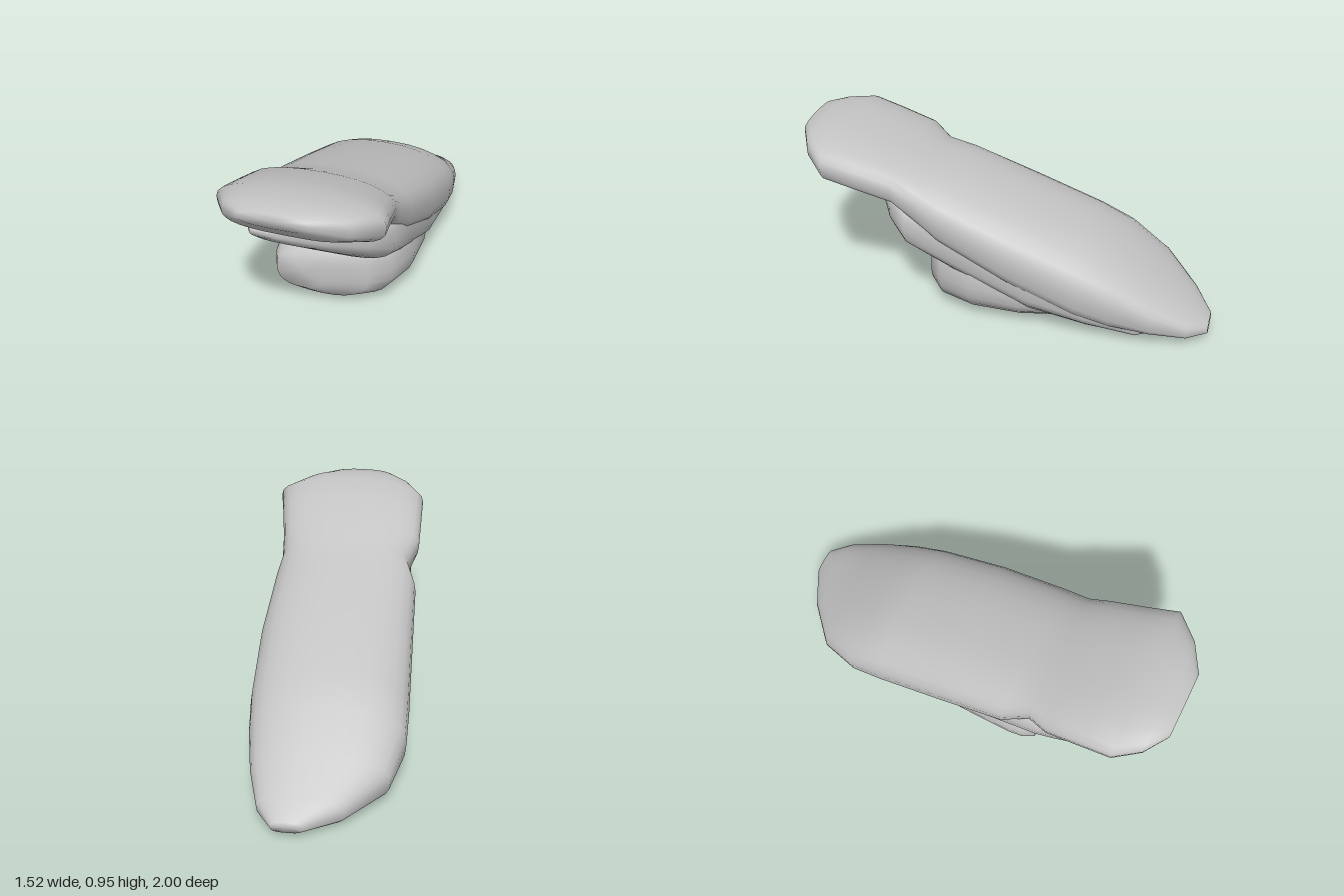
import * as THREE from 'three';

const SIDES = 28;

// Closed rounded loft; each section is [along, sideMin, sideMax, top, bottom], front to back.
// The two powers set how boxy the upper and lower halves are (2 is an ellipse).
function loft(sections, upperPower, lowerPower) {
  const pos = [], index = [];
  const round = (t, power) => Math.sign(t) * Math.abs(t) ** (2 / power);
  for (const [u, v0, v1, top, bottom] of sections) {
    for (let j = 0; j < SIDES; j++) {
      const a = (j / SIDES) * Math.PI * 2;
      const power = j < SIDES / 2 ? upperPower : lowerPower;
      pos.push(
        (v0 + v1) / 2 + ((v1 - v0) / 2) * round(Math.cos(a), power),
        (top + bottom) / 2 + ((top - bottom) / 2) * round(Math.sin(a), power),
        u
      );
    }
  }
  const rings = sections.length;
  for (let i = 0; i < rings - 1; i++) {
    for (let j = 0; j < SIDES; j++) {
      const k = (j + 1) % SIDES;
      const a = i * SIDES + j, b = i * SIDES + k;
      const c = a + SIDES, d = b + SIDES;
      index.push(a, c, b, b, c, d);
    }
  }
  // end caps
  for (const [ring, front] of [[0, true], [rings - 1, false]]) {
    const [u, v0, v1, top, bottom] = sections[ring];
    const centre = pos.length / 3;
    pos.push((v0 + v1) / 2, (top + bottom) / 2, u);
    for (let j = 0; j < SIDES; j++) {
      const a = ring * SIDES + j, b = ring * SIDES + ((j + 1) % SIDES);
      index.push(centre, front ? a : b, front ? b : a);
    }
  }
  const geometry = new THREE.BufferGeometry();
  geometry.setAttribute('position', new THREE.Float32BufferAttribute(pos, 3));
  geometry.setIndex(index);
  geometry.computeVertexNormals();
  return geometry;
}

export function createModel() {
  const stone = new THREE.MeshStandardMaterial({ color: 0xc4c4c4 });
  stone.name = 'grey stone';

  // long sloping slab with an overhanging head, thickening down to the ground at the tail
  const topSlab = loft([
    [1.03, -0.24, 0.1, 0.93, 0.86],
    [0.95, -0.35, 0.25, 0.945, 0.78],
    [0.83, -0.43, 0.37, 0.95, 0.72],
    [0.68, -0.43, 0.34, 0.91, 0.66],
    [0.5, -0.43, 0.31, 0.85, 0.6],
    [0.39, -0.38, 0.3, 0.795, 0.5],
    [0.26, -0.43, 0.32, 0.75, 0.4],
    [-0.1, -0.44, 0.34, 0.64, 0.22],
    [-0.45, -0.45, 0.33, 0.515, 0.08],
    [-0.62, -0.45, 0.31, 0.43, 0.04],
    [-0.82, -0.39, 0.27, 0.29, 0.03],
    [-1.0, -0.2, 0.21, 0.17, 0.03],
    [-1.1, -0.02, 0.13, 0.11, 0.05],
  ], 2.3, 3);

  // ledge under the head, slanting back on the left and running down to the tail
  const middleLedge = loft([
    [0.71, -0.34, -0.2, 0.61, 0.57],
    [0.66, -0.37, 0.02, 0.64, 0.52],
    [0.55, -0.39, 0.2, 0.66, 0.44],
    [0.44, -0.4, 0.29, 0.65, 0.36],
    [0.2, -0.4, 0.3, 0.62, 0.24],
    [-0.2, -0.41, 0.31, 0.48, 0.08],
    [-0.5, -0.41, 0.29, 0.35, 0.03],
    [-0.75, -0.36, 0.25, 0.2, 0.01],
    [-0.9, -0.22, 0.15, 0.14, 0.04],
  ], 3, 3);

  // foot that carries the weight
  const baseBlock = loft([
    [0.42, -0.34, -0.08, 0.3, 0.1],
    [0.36, -0.37, 0.13, 0.36, 0.04],
    [0.28, -0.38, 0.23, 0.4, 0.015],
    [0.1, -0.38, 0.29, 0.43, 0],
    [-0.15, -0.37, 0.28, 0.38, 0],
    [-0.35, -0.3, 0.22, 0.24, 0.025],
    [-0.45, -0.18, 0.12, 0.14, 0.05],
  ], 2.8, 2.4);

  const rock = new THREE.Group();
  rock.name = 'layeredRock';
  rock.rotation.y = 0.558;
  for (const [name, geometry] of Object.entries({ topSlab, middleLedge, baseBlock })) {
    const mesh = new THREE.Mesh(geometry, stone);
    mesh.name = name;
    rock.add(mesh);
  }

  const model = new THREE.Group();
  model.name = 'rockFormation';
  model.add(rock);
  return model;
}
